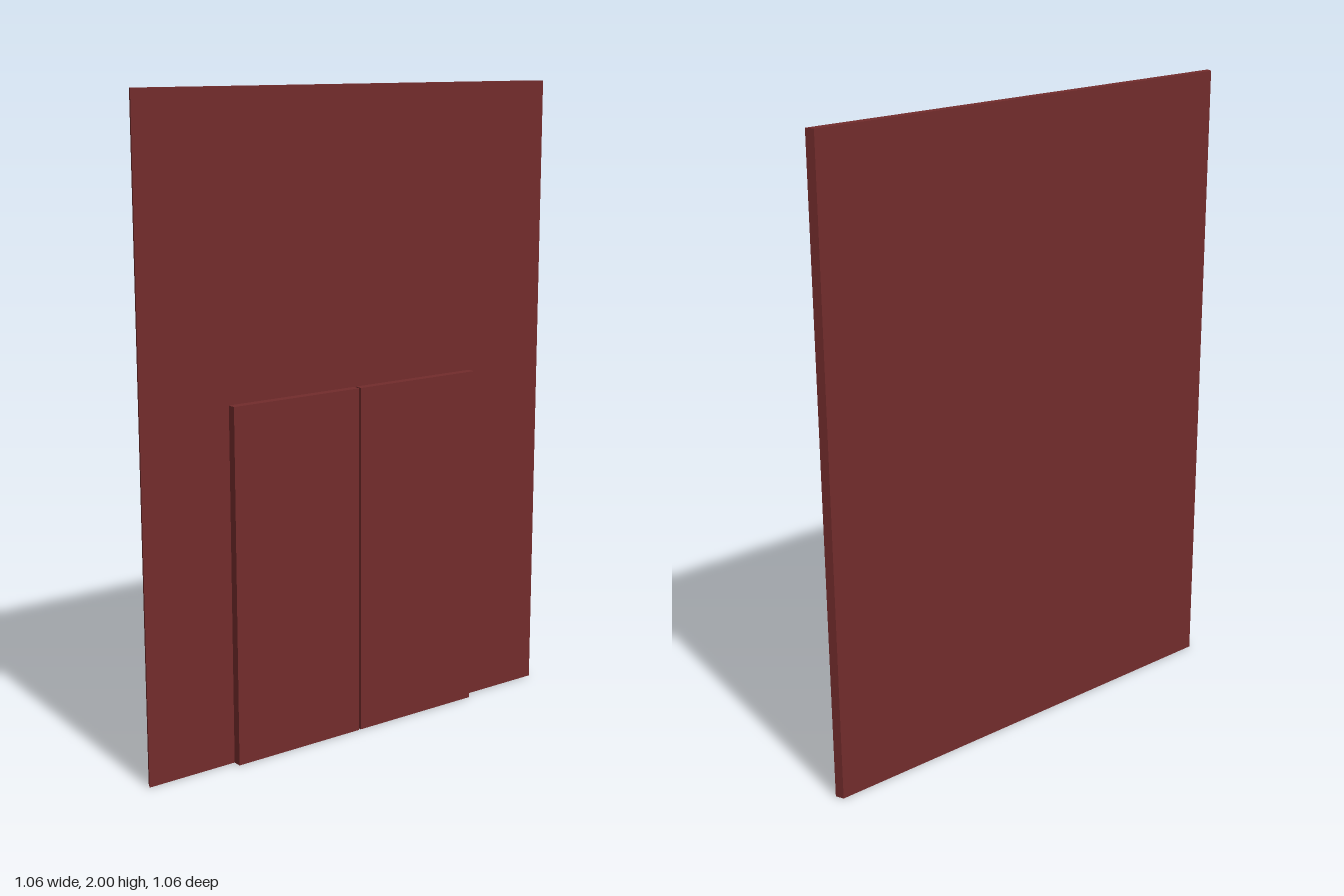
import * as THREE from 'three';

const material = new THREE.MeshStandardMaterial({ color: 0x722c2c, flatShading: true });

export function createModel() {
  const model = new THREE.Group();
  model.name = 'wallPanelWithDoors';

  // Wall slab: plan outline with mitred ends, extruded to full height
  const plan = new THREE.Shape([
    new THREE.Vector2(-0.746, -0.004),
    new THREE.Vector2(0.746, -0.004),
    new THREE.Vector2(0.735, 0.021),
    new THREE.Vector2(-0.735, 0.021),
  ]);
  const wallGeometry = new THREE.ExtrudeGeometry(plan, { depth: 2, bevelEnabled: false });
  wallGeometry.rotateX(-Math.PI / 2);
  const wall = new THREE.Mesh(wallGeometry, material);
  wall.name = 'wall';
  model.add(wall);

  // Pair of door leaves standing proud of the wall, with a narrow gap between
  const width = 0.448, height = 1.1, depth = 0.027;
  for (const side of [-1, 1]) {
    const door = new THREE.Mesh(new THREE.BoxGeometry(width, height, depth), material);
    door.name = side > 0 ? 'leftDoor' : 'rightDoor';
    door.position.set(side * (0.004 + width / 2), height / 2, 0.004 + depth / 2);
    model.add(door);
  }

  // The panel stands diagonally
  model.rotation.y = Math.PI / 4;
  const group = new THREE.Group();
  group.add(model);
  return group;
}
